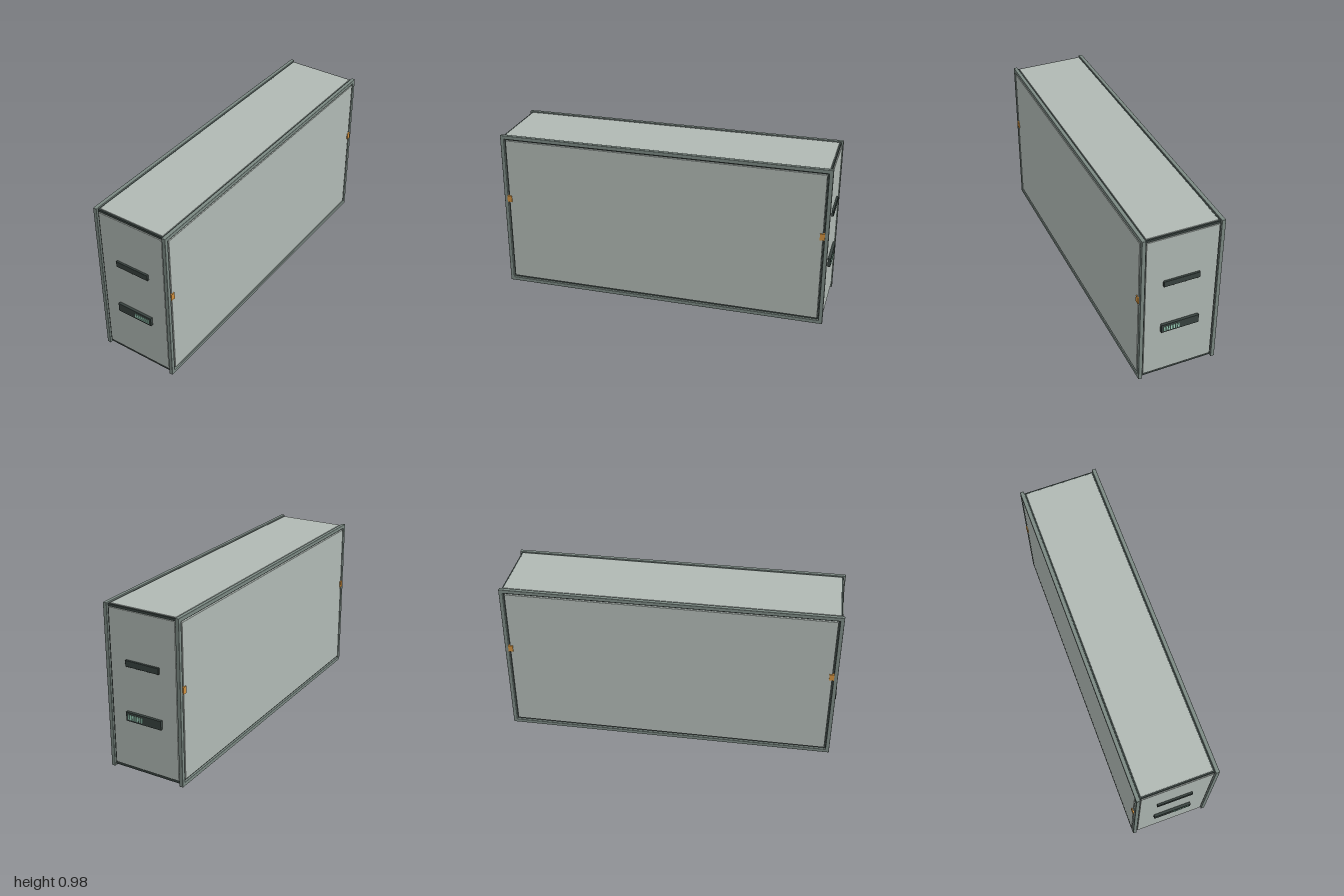
import * as THREE from 'three';
import { RoundedBoxGeometry } from 'three/addons/geometries/RoundedBoxGeometry.js';

const mat = (color) => new THREE.MeshStandardMaterial({ color });

export function createModel() {
  const model = new THREE.Group();
  const panel = mat(0xb0b9b4), frame = mat(0x7b8983), dark = mat(0x38423f);
  const amber = mat(0xd0903f), glow = mat(0x9fd6bf);

  // Box from its minimum and maximum corners, with an optional soft edge
  function box(parent, name, material, min, max, radius = 0) {
    const size = max.map((v, i) => v - min[i]);
    const geometry = radius
      ? new RoundedBoxGeometry(...size, 2, radius)
      : new THREE.BoxGeometry(...size);
    const mesh = new THREE.Mesh(geometry, material);
    mesh.name = name;
    mesh.position.set(...max.map((v, i) => (v + min[i]) / 2));
    parent.add(mesh);
    return mesh;
  }

  // Dark inner body, visible as the seams and the underside
  box(model, 'body', dark, [-0.225, 0.011, -0.975], [0.225, 0.968, 0.975]);
  box(model, 'topPanel', panel, [-0.207, 0.95, -0.966], [0.207, 0.972, 0.966], 0.002);

  // Long sides: rectangular rail frame, panel and two amber markers
  for (const s of [1, -1]) {
    const side = new THREE.Group();
    side.name = s > 0 ? 'leftSide' : 'rightSide';
    model.add(side);
    const H = 0.976, L = 0.987, w = 0.023;
    const span = (a, b) => (s > 0 ? [a, b] : [-b, -a]);
    const [x0, x1] = span(0.215, 0.238);
    box(side, 'bottomRail', frame, [x0, 0, -L], [x1, w, L], 0.003);
    box(side, 'topRail', frame, [x0, H - w, -L], [x1, H, L], 0.003);
    const [p0, p1] = span(0.215, 0.237);
    box(side, 'sidePanel', panel, [p0, 0.036, -0.955], [p1, 0.945, 0.955], 0.002);
    const [m0, m1] = span(0.225, 0.243);
    for (const e of [1, -1]) {
      const z = e * (L - w / 2);
      box(side, 'cornerPost', frame, [x0, 0, z - w / 2], [x1, H, z + w / 2], 0.003);
      const mz = e * 0.952;
      box(side, 'marker', amber, [m0, 0.548, mz - 0.014], [m1, 0.588, mz + 0.014]);
    }
  }

  // Ends: panel, handle bar and display with a row of light bars
  for (const s of [1, -1]) {
    const end = new THREE.Group();
    end.name = s > 0 ? 'frontEnd' : 'backEnd';
    model.add(end);
    const part = (name, material, x0, x1, y0, y1, z0, z1, r) => box(end, name, material,
      [x0, y0, s > 0 ? z0 : -z1], [x1, y1, s > 0 ? z1 : -z0], r);
    part('endPanel', panel, -0.209, 0.209, 0.028, 0.954, 0.965, 0.981, 0.002);
    part('handleBar', dark, -0.107, 0.107, 0.638, 0.675, 0.975, 0.993, 0.003);
    part('display', dark, -0.113, 0.113, 0.318, 0.371, 0.975, 0.997);
    for (let i = 0; i < 7; i++) {
      const x = 0.0095 + i * 0.0143;
      part('lightBar', glow, x - 0.0042, x + 0.0042, 0.329, 0.358, 0.99, 1);
    }
  }
  return model;
}
